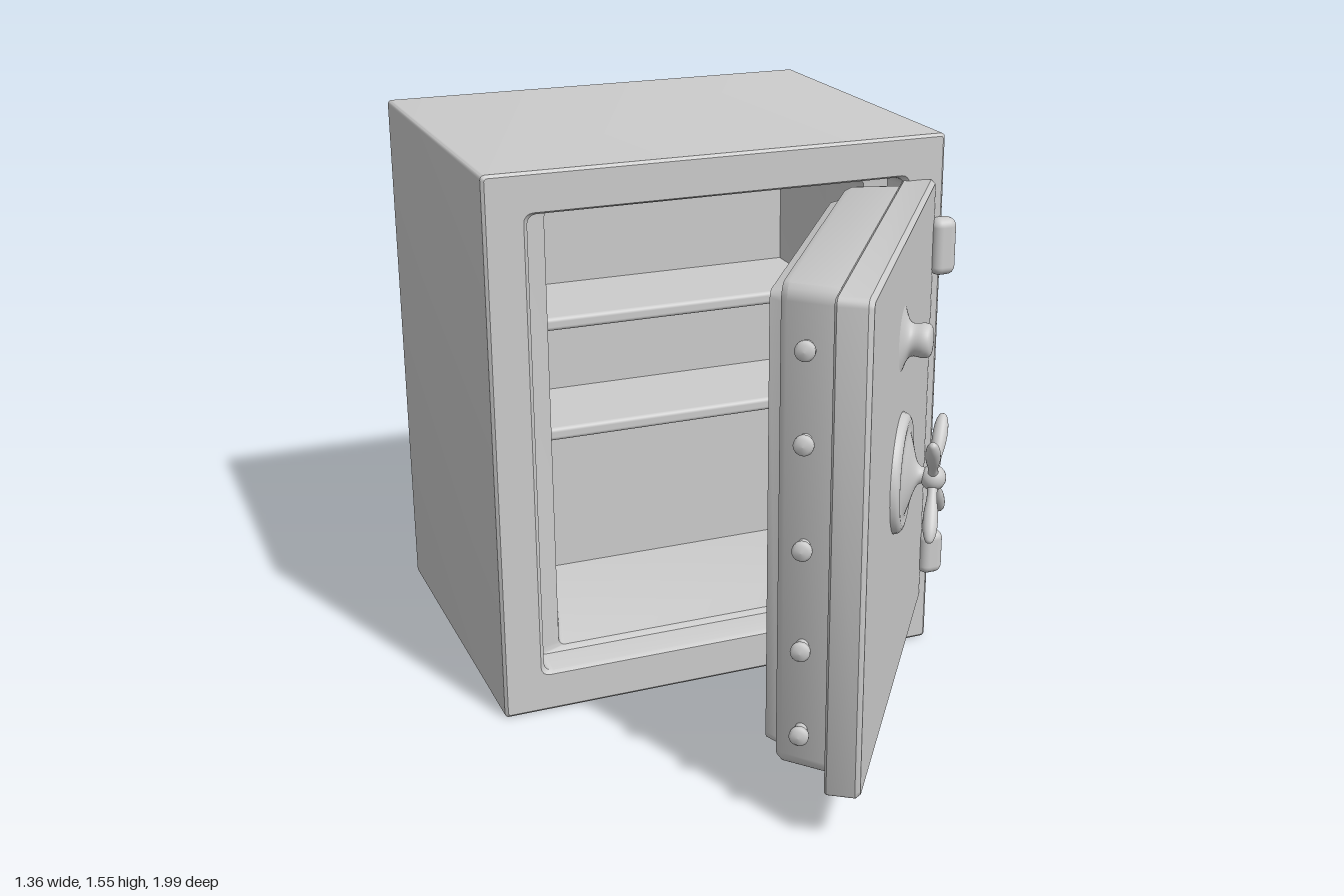
import * as THREE from 'three';
import { toCreasedNormals } from 'three/addons/utils/BufferGeometryUtils.js';
import { RoundedBoxGeometry } from 'three/addons/geometries/RoundedBoxGeometry.js';

const grey = new THREE.MeshStandardMaterial({ color: 0xcccccc });

function add(parent, name, geometry, x = 0, y = 0, z = 0) {
  const mesh = new THREE.Mesh(geometry, grey);
  mesh.name = name;
  mesh.position.set(x, y, z);
  parent.add(mesh);
  return mesh;
}

// Counter-clockwise rounded rectangle in the plane z
function ring([x0, x1, y0, y1, z, r]) {
  const corners = [[x1 - r, y0 + r], [x1 - r, y1 - r], [x0 + r, y1 - r], [x0 + r, y0 + r]];
  const points = [];
  corners.forEach(([cx, cy], i) => {
    for (let k = 0; k <= 4; k++) {
      const a = (i - 1 + k / 4) * Math.PI / 2;
      points.push([cx + r * Math.cos(a), cy + r * Math.sin(a), z]);
    }
  });
  return points;
}

// Skin a series of rounded rectangles and close both ends
function loft(sections) {
  const rings = sections.map(ring);
  const n = rings[0].length;
  const pos = [];
  const tri = (a, b, c) => pos.push(...a, ...b, ...c);
  for (let i = 0; i < rings.length - 1; i++) {
    for (let j = 0; j < n; j++) {
      const k = (j + 1) % n, p = rings[i], q = rings[i + 1];
      tri(p[j], p[k], q[k]);
      tri(p[j], q[k], q[j]);
    }
  }
  const first = rings[0], last = rings[rings.length - 1];
  for (let j = 1; j < n - 1; j++) {
    tri(first[0], first[j + 1], first[j]);
    tri(last[0], last[j], last[j + 1]);
  }
  const g = new THREE.BufferGeometry();
  g.setAttribute('position', new THREE.Float32BufferAttribute(pos, 3));
  g.computeVertexNormals();
  return toCreasedNormals(g, 0.6);
}

// Turned part whose axis points along +z; points are [radius, height]
function turned(points, smooth = true) {
  let v = points.map(p => new THREE.Vector2(...p));
  if (smooth) v = new THREE.SplineCurve(v).getPoints(24);
  v.forEach(p => { p.x = Math.max(p.x, 0); });
  return new THREE.LatheGeometry(v, 32).rotateX(Math.PI / 2);
}

function buildCabinet(parent) {
  const cabinet = new THREE.Group();
  cabinet.name = 'cabinet';
  parent.add(cabinet);

  // Outer shell, stepped and tapered door rebate, then the cavity
  add(cabinet, 'cabinetShell', loft([
    [-0.672, 0.637, 0.008, 1.547, -1, 0.008],
    [-0.68, 0.645, 0, 1.555, -0.992, 0.012],
    [-0.68, 0.645, 0, 1.555, 0.032, 0.012],
    [-0.672, 0.637, 0.008, 1.547, 0.04, 0.008],
    [-0.572, 0.537, 0.113, 1.447, 0.04, 0.025],
    [-0.56, 0.525, 0.12, 1.44, 0.028, 0.025],
    [-0.555, 0.52, 0.125, 1.435, -0.06, 0.025],
    [-0.485, 0.45, 0.14, 1.42, -0.07, 0.02],
    [-0.44, 0.405, 0.16, 1.4, -0.22, 0.01],
    [-0.44, 0.405, 0.16, 1.4, -0.54, 0.01],
  ]));

  for (const y of [0.725, 1.052]) {
    add(cabinet, 'shelf', new RoundedBoxGeometry(0.86, 0.038, 0.33, 3, 0.012), -0.0175, y, -0.385);
  }

  // Hinge side
  add(cabinet, 'hingeStrip', new RoundedBoxGeometry(0.04, 1.29, 0.045, 3, 0.014), 0.643, 0.785, -0.012);
  for (const [y, h] of [[1.237, 0.165], [0.293, 0.135]]) {
    add(cabinet, 'hinge', new RoundedBoxGeometry(0.072, h, 0.06, 4, 0.025), 0.641, y, 0.05);
  }
}

function buildDoor(parent) {
  // Pivot on the hinge line; the closed door runs along -x and faces +z
  const door = new THREE.Group();
  door.name = 'door';
  door.position.set(0.62, 0, 0.04);
  door.rotation.y = THREE.MathUtils.degToRad(55);
  parent.add(door);

  add(door, 'doorPlate', loft([
    [-1.165, -0.005, 0.145, 1.425, -0.09, 0.015],
    [-1.17, 0, 0.14, 1.43, -0.084, 0.02],
    [-1.17, 0, 0.14, 1.43, -0.012, 0.02],
    [-1.16, -0.01, 0.15, 1.42, 0, 0.015],
  ]));
  // Tapered plug with a raised inner panel
  add(door, 'doorPlug', loft([
    [-0.97, -0.17, 0.22, 1.35, -0.275, 0.02],
    [-1.005, -0.135, 0.185, 1.385, -0.27, 0.025],
    [-1.015, -0.125, 0.175, 1.395, -0.24, 0.03],
    [-1.045, -0.095, 0.155, 1.415, -0.235, 0.04],
    [-1.06, -0.08, 0.148, 1.422, -0.218, 0.04],
    [-1.09, -0.05, 0.145, 1.425, -0.085, 0.04],
  ]));

  // Locking bolts on the free edge
  for (const y of [0.27, 0.505, 0.775, 1.047, 1.28]) {
    const bolt = add(door, 'lockingBolt', turned(
      [[0.024, -0.02], [0.015, 0.015], [0.015, 0.03], [0.025, 0.04], [0.025, 0.052], [0.018, 0.06], [0, 0.062]],
      false), -1.062, y, -0.165);
    bolt.rotation.y = -Math.PI / 2;
  }

  // Combination knob on a soft flare
  add(door, 'combinationKnob', turned([
    [0.1, -0.004], [0.075, 0.003], [0.05, 0.014], [0.042, 0.028],
    [0.045, 0.055], [0.036, 0.072], [0, 0.077],
  ]), -0.62, 1.162, 0);

  // Handle: round boss, hub and four crossed arms
  const handle = new THREE.Group();
  handle.name = 'handle';
  handle.position.set(-0.62, 0.795, 0);
  door.add(handle);
  add(handle, 'handleBoss', turned([
    [0.162, -0.004], [0.155, 0.014], [0.14, 0.022], [0.115, 0.021],
    [0.085, 0.03], [0.045, 0.042], [0.024, 0.055], [0.02, 0.08],
  ]));
  add(handle, 'handleHub', new THREE.SphereGeometry(0.034, 24, 16), 0, -0.005, 0.09);
  const armGeometry = turned([
    [0.016, 0], [0.013, 0.05], [0.019, 0.1], [0.018, 0.145], [0.01, 0.172], [0, 0.178],
  ]);
  for (const sx of [-1, 1]) for (const sy of [-1, 1]) {
    const arm = add(handle, 'handleArm', armGeometry, 0, -0.005, 0.09);
    const direction = new THREE.Vector3(sx * 0.112, sy * 0.135, 0.008).normalize();
    arm.quaternion.setFromUnitVectors(new THREE.Vector3(0, 0, 1), direction);
  }
}

export function createModel() {
  const safe = new THREE.Group();
  safe.name = 'safe';
  buildCabinet(safe);
  buildDoor(safe);

  // Lathe profiles run base to tip, so make sure both sides show
  grey.side = THREE.DoubleSide;
  return safe;
}
